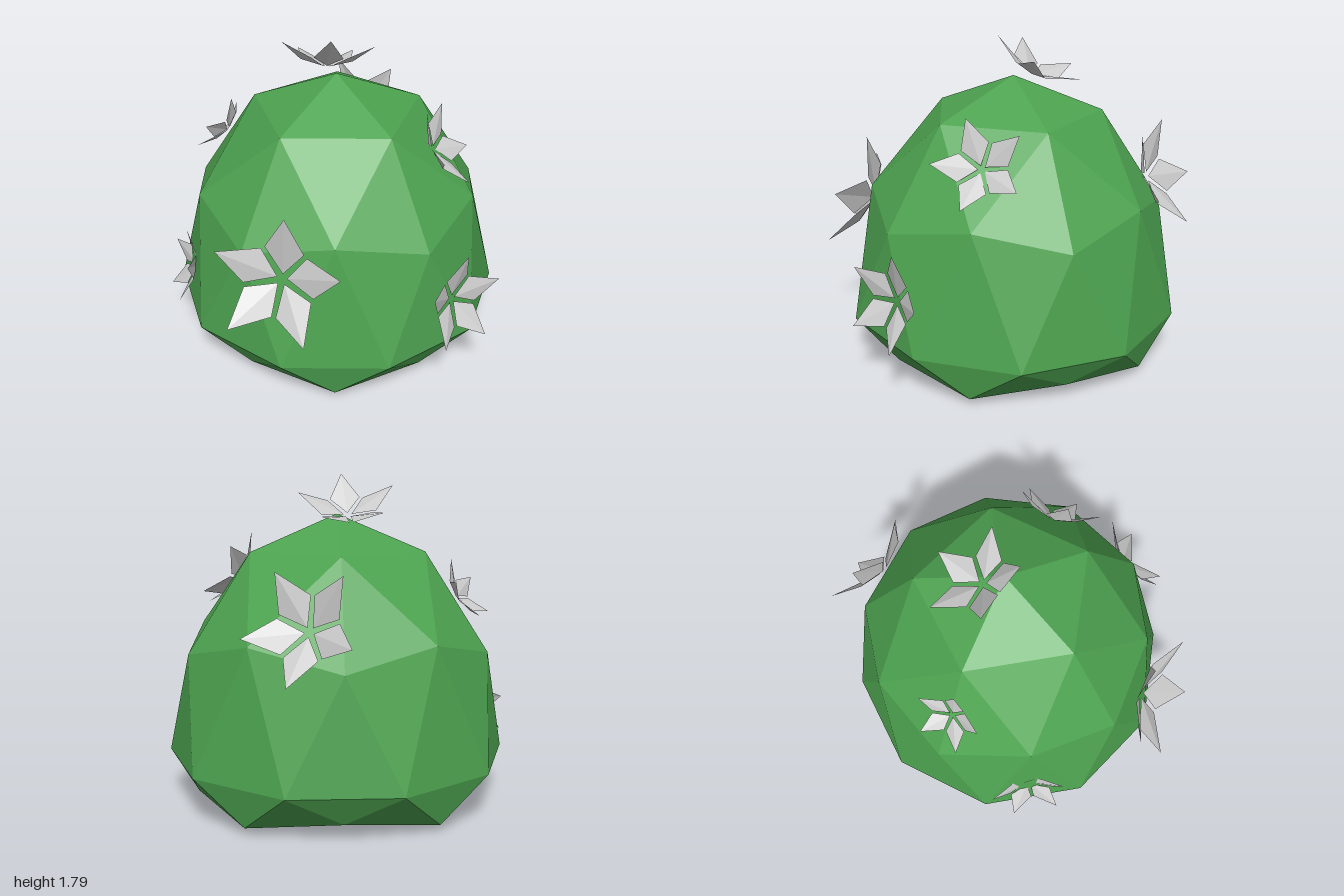
import * as THREE from 'three';

const leafMaterial = new THREE.MeshStandardMaterial({ color: 0x4da350, flatShading: true });
const petalMaterial = new THREE.MeshStandardMaterial({ color: 0xcccccc, flatShading: true, side: THREE.DoubleSide });

// Bush: a faceted sphere, stretched upwards above its widest ring and squashed to a base below
function bushHeight(y) {
  if (y > -0.01) return 0.26 + 1.32 * y;
  if (y > -0.48) return 0.26 + 0.49 * y;   // lower rim
  if (y > -0.6) return 0.095;              // notches in the rim
  return y > -0.9 ? 0.075 : 0.005;         // hollow underside and its centre
}

function createBush() {
  const geometry = new THREE.IcosahedronGeometry(1, 1);
  geometry.rotateZ(Math.atan(2 / (1 + Math.sqrt(5)))); // stand it on a corner
  const p = geometry.attributes.position;
  for (let i = 0; i < p.count; i++) {
    p.setXYZ(i, 0.07 + 0.94 * p.getX(i), bushHeight(p.getY(i)), -0.045 + 0.94 * p.getZ(i));
  }
  geometry.computeVertexNormals();
  const bush = new THREE.Mesh(geometry, leafMaterial);
  bush.name = 'bush';
  return bush;
}

// Petal: a kite folded along its middle, rising outwards; unit length along +x
function createPetalGeometry() {
  const spread = 0.57;
  const side = (s) => [0.56 * Math.cos(spread), s * 0.56 * Math.sin(spread), 0.16];
  const base = [0.08, 0, 0.03];
  const tip = [1, 0, 0.45];
  const geometry = new THREE.BufferGeometry();
  const corners = [base, side(-1), tip, base, tip, side(1)].flat();
  geometry.setAttribute('position', new THREE.Float32BufferAttribute(corners, 3));
  geometry.computeVertexNormals();
  return geometry;
}

// Flower: five petals in a cup, facing along `facing`, first petal towards `up`
function createFlower(petalGeometry, { at, facing, up, size }) {
  const flower = new THREE.Group();
  flower.name = 'flower';
  for (let i = 0; i < 5; i++) {
    const petal = new THREE.Mesh(petalGeometry, petalMaterial);
    petal.name = 'petal';
    petal.rotation.z = (i * Math.PI * 2) / 5;
    flower.add(petal);
  }
  const n = new THREE.Vector3(...facing).normalize();
  const x = new THREE.Vector3(...up).projectOnPlane(n).normalize();
  const y = new THREE.Vector3().crossVectors(n, x);
  flower.quaternion.setFromRotationMatrix(new THREE.Matrix4().makeBasis(x, y, n));
  flower.position.set(...at);
  flower.scale.setScalar(size);
  return flower;
}

const flowers = [
  { at: [0.12, 1.57, -0.15], facing: [0.42, 1, -0.25], up: [0.26, 0, -0.03], size: 0.27 },     // crown
  { at: [0.23, 1.21, 0.49], facing: [0.41, 0.67, 1], up: [0.22, -0.12, -0.02], size: 0.25 },   // upper front
  { at: [-0.07, 0.53, 0.83], facing: [-0.2, 0.2, 1], up: [0.06, 0.31, -0.03], size: 0.27 },    // lower front
  { at: [-0.74, 0.78, 0.21], facing: [-1, 0.38, 0.4], up: [0.14, 0.39, -0.02], size: 0.35 },   // right side
  { at: [0.75, 1.04, -0.34], facing: [1, 0.45, -0.16], up: [0.16, -0.34, -0.02], size: 0.31 }, // left side
  { at: [-0.15, 1.14, -0.67], facing: [-0.25, 0.67, -1], up: [0.05, 1, 0.3], size: 0.19 },     // upper back
  { at: [-0.6, 0.47, -0.56], facing: [-0.75, 0.25, -0.6], up: [0.1, 1, -0.1], size: 0.22 },    // lower back
];

export function createModel() {
  const model = new THREE.Group();
  model.name = 'floweringBush';
  model.add(createBush());
  const petalGeometry = createPetalGeometry();
  for (const f of flowers) model.add(createFlower(petalGeometry, f));
  return model;
}
